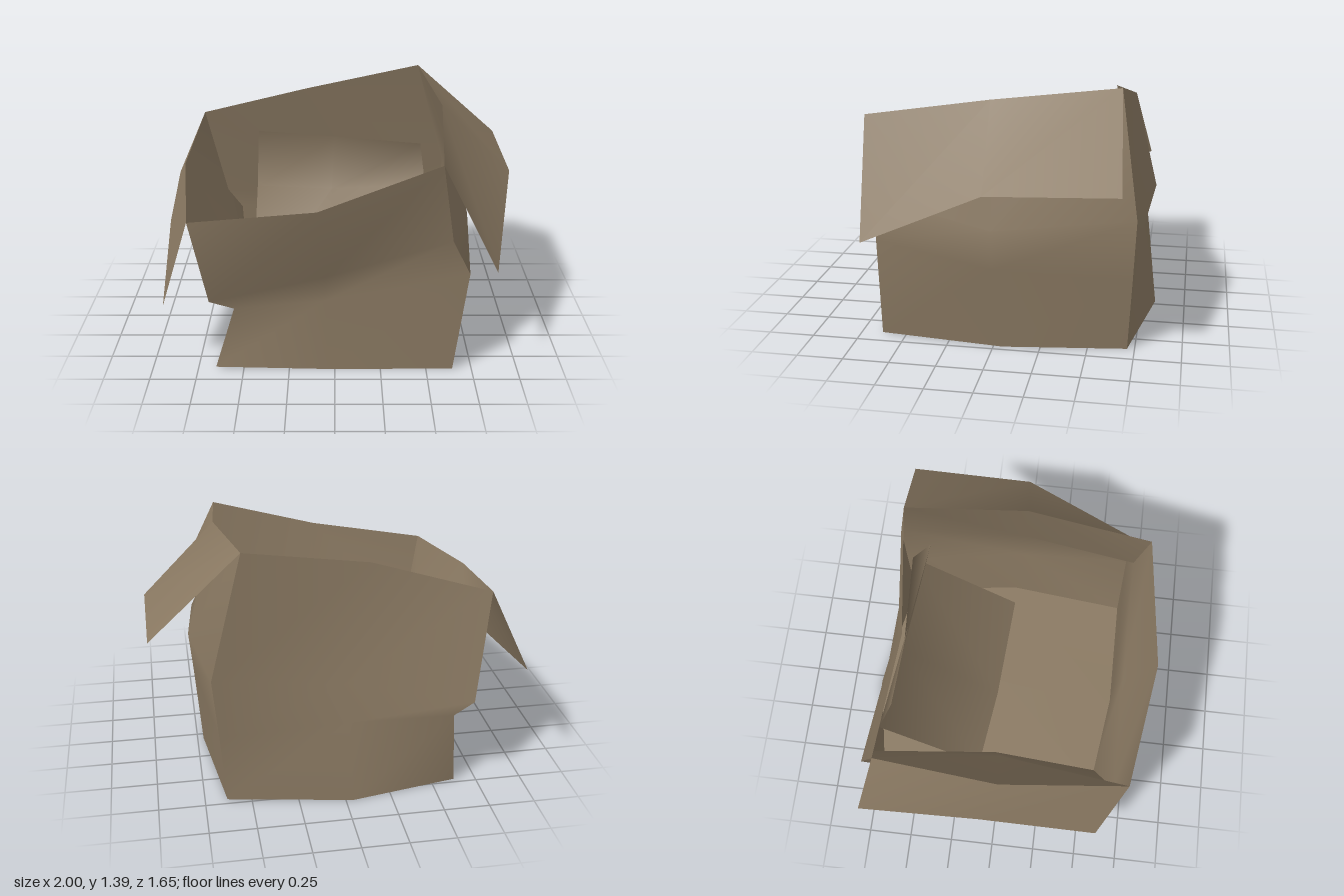
import * as THREE from 'three';

// Smooth sheet from rows of points; rows run upwards, columns left to right seen from its front
function sheet(name, rows, material) {
  const cols = rows[0].length;
  const index = [];
  for (let r = 0; r < rows.length - 1; r++) {
    for (let c = 0; c < cols - 1; c++) {
      const a = r * cols + c, b = a + 1, d = a + cols, e = d + 1;
      index.push(a, b, e, a, e, d);
    }
  }
  const geometry = new THREE.BufferGeometry();
  geometry.setAttribute('position', new THREE.Float32BufferAttribute(rows.flat(2), 3));
  geometry.setIndex(index);
  geometry.computeVertexNormals();
  const mesh = new THREE.Mesh(geometry, material);
  mesh.name = name;
  return mesh;
}

export function createModel() {
  const model = new THREE.Group();
  model.name = 'crumpledOpenBox';
  const cardboard = new THREE.MeshStandardMaterial({ color: 0x8a7962, side: THREE.DoubleSide });
  cardboard.name = 'cardboard';

  // Vertical folds around the box, each from floor to rim
  const folds = [
    [[-0.65, 0.02, 0.65], [-0.55, 0.33, 0.56], [-0.67, 0.43, 0.68], [-0.76, 0.905, 0.73]], // front right corner
    [[-0.04, 0, 0.64], [-0.05, 0.41, 0.625], [-0.05, 0.57, 0.67], [-0.09, 1.0, 0.825]],    // front middle
    [[0.645, 0, 0.635], [0.72, 0.57, 0.63], [0.62, 0.77, 0.66], [0.55, 1.21, 0.72]],       // front left corner
    [[0.715, 0, -0.05], [0.75, 0.45, 0], [0.77, 0.67, 0], [0.6, 1.325, 0.03]],             // left middle
    [[0.63, 0, -0.71], [0.66, 0.4, -0.73], [0.69, 0.74, -0.745], [0.51, 1.39, -0.64]],     // back left corner
    [[-0.04, 0, -0.83], [-0.03, 0.43, -0.74], [-0.02, 0.62, -0.67], [-0.17, 1.265, -0.56]], // back middle
    [[-0.63, 0, -0.72], [-0.605, 0.42, -0.74], [-0.7, 0.52, -0.79], [-0.81, 1.09, -0.64]], // back right corner
    [[-0.6, 0, -0.02], [-0.52, 0.38, -0.03], [-0.57, 0.5, 0], [-0.85, 0.985, 0.03]],       // right middle
  ];

  // Four walls, each spanning three folds, with sharp corners between them
  ['frontWall', 'leftWall', 'backWall', 'rightWall'].forEach((name, i) => {
    const span = [0, 1, 2].map((k) => folds[(i * 2 + k) % 8]);
    const rows = [0, 1, 2, 3].map((r) => span.map((fold) => fold[r]));
    model.add(sheet(name, rows, cardboard));
  });

  // Floor, as three strips from front to back
  const base = folds.map((fold) => fold[0]);
  model.add(sheet('floor', [
    [base[0], base[1], base[2]],
    [base[7], [0.05, 0, -0.04], base[3]],
    [base[6], base[5], base[4]],
  ], cardboard));

  // Flaps hanging outwards from the left and right rims
  const rim = folds.map((fold) => fold[3]);
  model.add(sheet('leftFlap', [
    [[0.86, 0.6, 0.675], [1.0, 0.93, 0], [0.995, 0.955, -0.685]],
    [rim[2], rim[3], rim[4]],
  ], cardboard));
  model.add(sheet('rightFlap', [
    [[-1.0, 0.66, -0.74], [-0.97, 0.59, -0.07], [-0.93, 0.365, 0.6]],
    [rim[6], rim[7], rim[0]],
  ], cardboard));

  // Loose inner flap, rising from the floor and leaning on the back wall
  model.add(sheet('innerFlap', [
    [[-0.51, 0.015, -0.14], [-0.04, 0.015, -0.08], [0.6, 0.015, -0.04]],
    [[-0.5, 0.575, -0.71], [-0.02, 0.58, -0.64], [0.58, 0.6, -0.67]],
    [[-0.475, 0.98, -0.6], [0, 0.95, -0.58], [0.53, 0.92, -0.53]],
  ], cardboard));

  return model;
}
